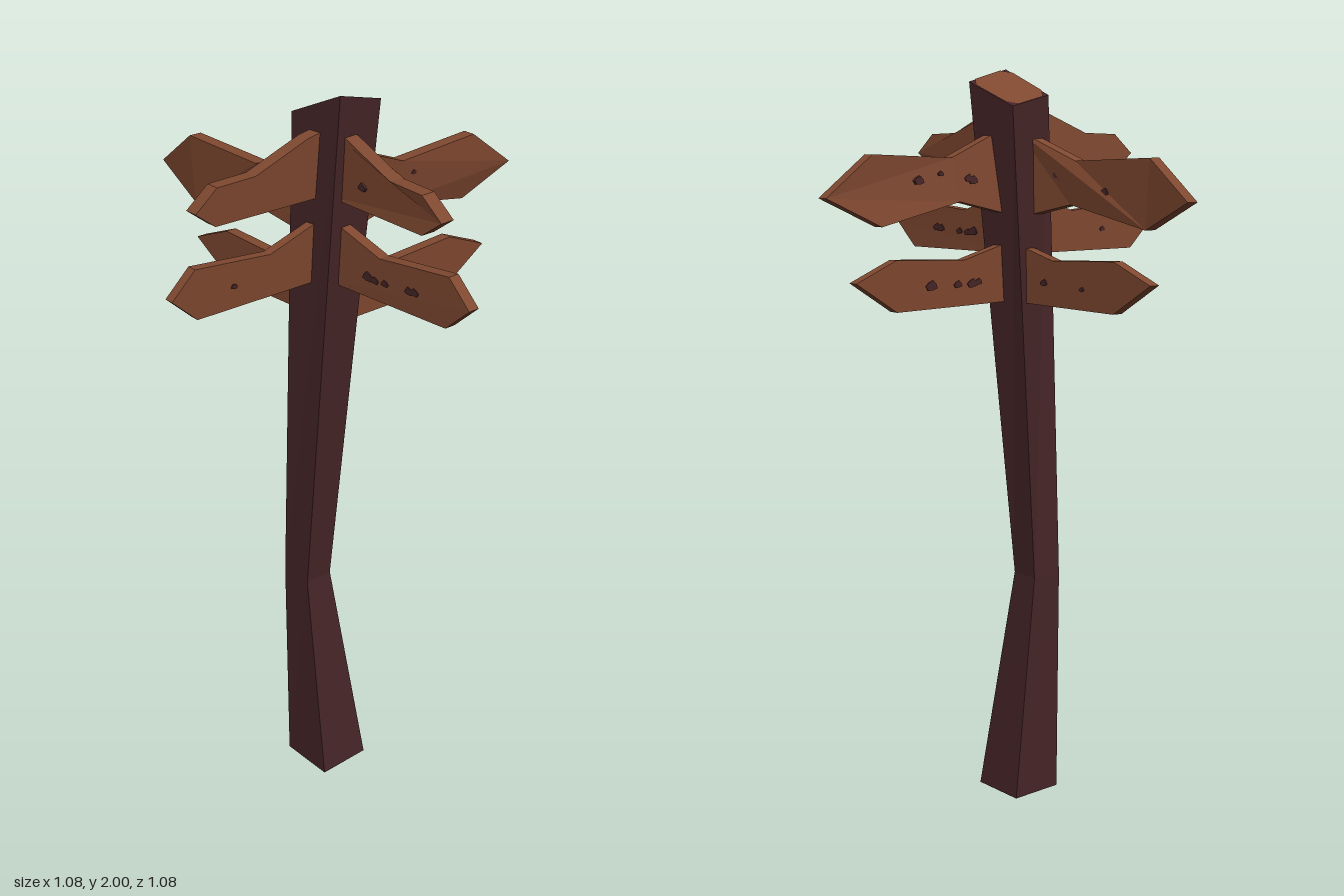
import * as THREE from 'three';

const bark = new THREE.MeshStandardMaterial({ color: 0x462527 });
bark.name = 'dark bark';
const wood = new THREE.MeshStandardMaterial({ color: 0x7f4830 });
wood.name = 'brown wood';

// Flat-faced mesh from a list of triangles given as Vector3 corners
function facetMesh(name, points, material) {
  const g = new THREE.BufferGeometry().setFromPoints(points);
  g.computeVertexNormals();
  const m = new THREE.Mesh(g, material);
  m.name = name;
  return m;
}

// Piecewise linear lookup of the sideways offset along a plank
function offsetAt(path, u) {
  for (let i = 0; i < path.length - 1; i++) {
    const [a, wa] = path[i], [b, wb] = path[i + 1];
    if (u <= b || i === path.length - 2) return wa + (wb - wa) * (u - a) / (b - a);
  }
}

// Pointed plank: outline in (along, up), bent sideways by path and rolled about midY
function makeSign({ name, outline, path, thick, knots, roll = 0, midY, turned }) {
  const group = new THREE.Group();
  group.name = name;
  const bend = (g) => {
    const p = g.attributes.position;
    for (let i = 0; i < p.count; i++) {
      const u = p.getX(i), y = p.getY(i);
      p.setZ(i, p.getZ(i) + offsetAt(path, u) + roll * (y - midY));
    }
    g.computeVertexNormals();
    return g;
  };
  const shape = new THREE.Shape(outline.map(([u, y]) => new THREE.Vector2(u, y)));
  const board = new THREE.ExtrudeGeometry(shape, { depth: thick, bevelEnabled: false });
  board.translate(0, 0, -thick / 2);
  const plank = new THREE.Mesh(bend(board), wood);
  plank.name = 'plank';
  group.add(plank);
  // Knots show on both faces
  for (const [u, y, r] of knots) {
    const s = new THREE.Shape();
    for (let k = 0; k < 7; k++) {
      const a = k / 7 * Math.PI * 2, q = r * (k % 2 ? 0.85 : 1.1);
      s[k ? 'lineTo' : 'moveTo'](u + Math.cos(a) * q, y + Math.sin(a) * q * 0.75);
    }
    const d = thick + 0.006;
    const g = new THREE.ExtrudeGeometry(s, { depth: d, bevelEnabled: false });
    g.translate(0, 0, -d / 2);
    const knot = new THREE.Mesh(bend(g), bark);
    knot.name = 'knot';
    group.add(knot);
  }
  if (turned) group.rotation.y = Math.PI / 2;
  return group;
}

// Crooked four-sided post, lofted through three rings
function makePost() {
  const group = new THREE.Group();
  group.name = 'post';
  const V = (x, y, z) => new THREE.Vector3(x, y, z);
  const rings = [
    [V(-0.02, 0, 0.155), V(0.135, 0, 0.15), V(0.135, 0, 0), V(-0.02, 0, 0.005)],
    [V(-0.025, 0.63, 0.155), V(0.065, 0.63, 0.15), V(0.065, 0.63, 0.07), V(-0.02, 0.63, 0.07)],
    [V(0, 1.93, 0.13), V(0.158, 2, 0.115), V(0.146, 1.965, -0.02), V(-0.01, 1.9, 0)],
  ];
  const tris = [];
  const quad = (a, b, c, d) => tris.push(a, b, c, a, c, d);
  for (let r = 0; r < 2; r++) {
    for (let i = 0; i < 4; i++) {
      const j = (i + 1) % 4;
      quad(rings[r][i], rings[r][j], rings[r + 1][j], rings[r + 1][i]);
    }
  }
  quad(...rings[2]);
  quad(...[...rings[0]].reverse());
  group.add(facetMesh('trunk', tris, bark));

  // Cut end: pale octagon that leaves the four corners dark
  const top = rings[2], rim = [];
  for (let i = 0; i < 4; i++) {
    const a = top[i], b = top[(i + 1) % 4];
    rim.push(a.clone().lerp(b, 0.16), a.clone().lerp(b, 0.84));
  }
  rim.forEach((p) => { p.y += 0.002; });
  const mid = rim.reduce((s, p) => s.add(p), V(0, 0, 0)).divideScalar(8);
  const cap = [];
  rim.forEach((p, i) => cap.push(mid, p, rim[(i + 1) % 8]));
  group.add(facetMesh('cutEnd', cap, wood));
  return group;
}

export function createModel() {
  const model = new THREE.Group();
  model.add(makePost());

  // Four plank outlines, used once along x and once along z
  const bigLeft = [[-0.54, 1.668], [-0.4, 1.772], [-0.145, 1.762], [0.05, 1.84],
    [0.05, 1.61], [-0.13, 1.65], [-0.39, 1.595]];
  const lowLeft = [[-0.455, 1.465], [-0.33, 1.517], [-0.11, 1.507], [0.05, 1.55],
    [0.05, 1.39], [-0.33, 1.385]];
  const highRight = [[0.47, 1.778], [0.412, 1.83], [0.305, 1.833], [0.155, 1.893],
    [0.07, 1.91], [0.07, 1.735], [0.415, 1.735]];
  const lowRight = [[0.54, 1.58], [0.475, 1.645], [0.258, 1.625], [0.13, 1.668],
    [0.06, 1.69], [0.06, 1.515], [0.47, 1.515]];
  const flip = (pts) => pts.map(([u, y]) => [-u, y]);

  const signs = [
    { name: 'upperRightSign', outline: bigLeft, thick: 0.034, midY: 1.69,
      path: [[-0.54, 0.12], [-0.4, 0.128], [-0.14, 0.112], [0.05, 0.082]],
      knots: [[-0.09, 1.728, 0.016], [-0.1, 1.72, 0.01], [-0.25, 1.685, 0.014]] },
    { name: 'lowerRightSign', outline: lowLeft, thick: 0.03, midY: 1.45,
      path: [[-0.455, 0.082], [0.05, 0.057]],
      knots: [[-0.08, 1.448, 0.012], [-0.22, 1.44, 0.008]] },
    { name: 'upperLeftSign', outline: highRight, thick: 0.038, midY: 1.8,
      path: [[0.07, 0.075], [0.412, 0.075], [0.47, 0.068]],
      knots: [[0.212, 1.792, 0.013]] },
    { name: 'lowerLeftSign', outline: lowRight, thick: 0.03, midY: 1.58,
      path: [[0.06, 0.08], [0.475, 0.047], [0.54, 0.043]],
      knots: [[0.222, 1.568, 0.016], [0.245, 1.565, 0.012], [0.278, 1.567, 0.011],
        [0.355, 1.572, 0.013], [0.372, 1.574, 0.013]] },
    { name: 'upperBackSign', turned: true, thick: 0.034, midY: 1.69, roll: 0.13,
      outline: flip(bigLeft).map(([u, y]) => [u, y + 0.008]),
      path: [[-0.05, 0.075], [0.14, 0.066], [0.4, 0.052], [0.54, 0.062]],
      knots: [[0.08, 1.712, 0.015], [0.095, 1.717, 0.013], [0.187, 1.73, 0.009], [0.26, 1.714, 0.015]] },
    { name: 'lowerBackSign', turned: true, thick: 0.03, midY: 1.45,
      outline: flip(lowLeft), path: [[-0.05, 0.072], [0.455, 0.062]],
      knots: [[0.065, 1.448, 0.012], [0.085, 1.445, 0.016], [0.133, 1.445, 0.013], [0.22, 1.446, 0.018]] },
    { name: 'upperFrontSign', turned: true, thick: 0.036, midY: 1.8, roll: 0.08,
      outline: flip(highRight), path: [[-0.475, 0.058], [-0.07, 0.07]], knots: [] },
    { name: 'lowerFrontSign', turned: true, thick: 0.026, midY: 1.58, roll: 0.05,
      outline: flip(lowRight), path: [[-0.545, 0.052], [-0.06, 0.06]],
      knots: [[-0.365, 1.572, 0.009]] },
  ];
  signs.forEach((s) => model.add(makeSign(s)));
  return model;
}
